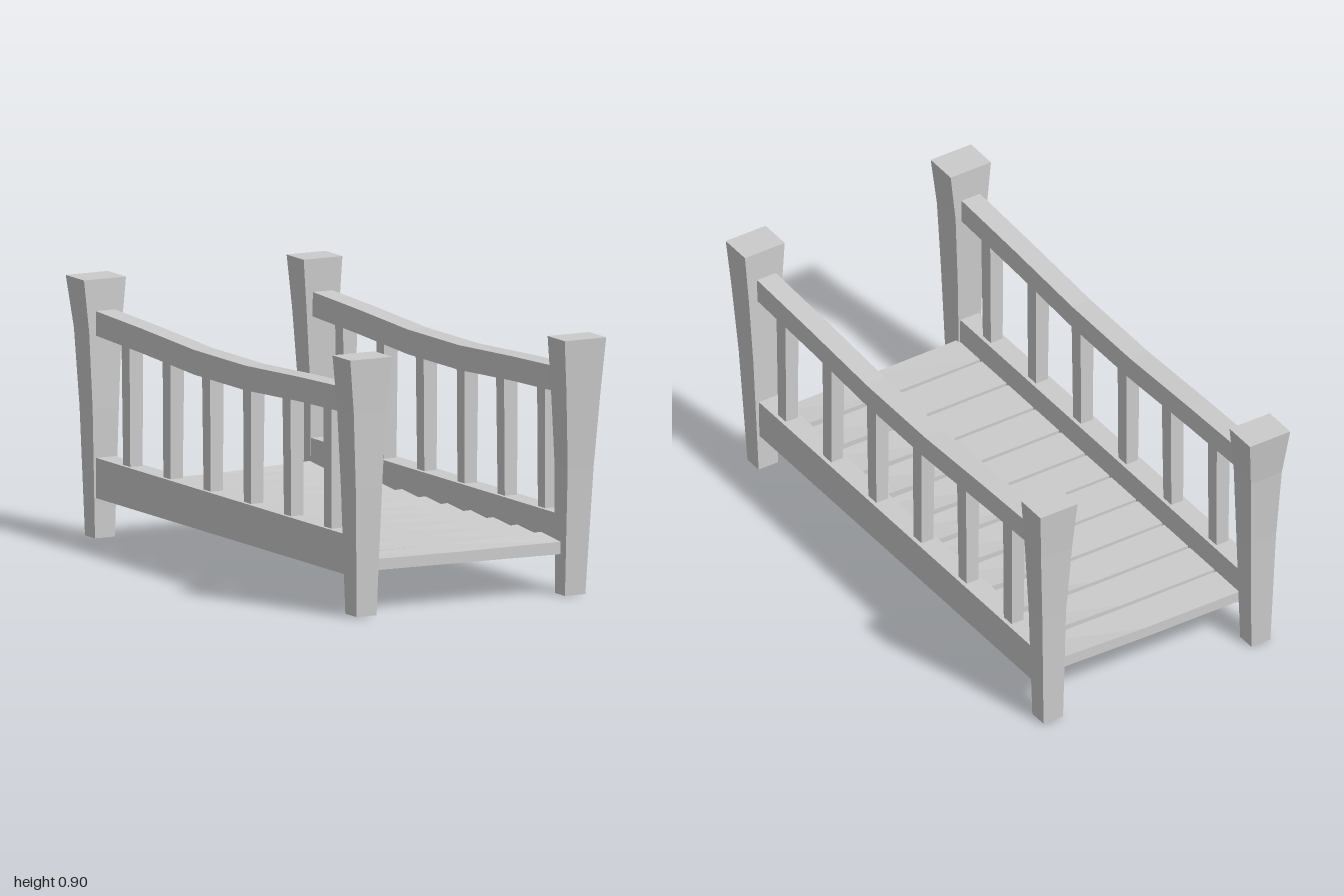
import * as THREE from 'three';

const material = new THREE.MeshStandardMaterial({ color: 0xcccccc, flatShading: true });

// Flat-shaded beam through four-cornered rings (counter-clockwise seen from the last ring)
function beam(name, rings) {
  const pos = [];
  const quad = (a, b, c, d) => pos.push(...a, ...b, ...c, ...a, ...c, ...d);
  for (let i = 0; i < rings.length - 1; i++) {
    const p = rings[i], q = rings[i + 1];
    for (let j = 0; j < 4; j++) {
      const k = (j + 1) % 4;
      quad(p[j], p[k], q[k], q[j]);
    }
  }
  const a = rings[0], b = rings[rings.length - 1];
  quad(a[3], a[2], a[1], a[0]);
  quad(b[0], b[1], b[2], b[3]);
  const geometry = new THREE.BufferGeometry();
  geometry.setAttribute('position', new THREE.Float32BufferAttribute(pos, 3));
  geometry.computeVertexNormals();
  const mesh = new THREE.Mesh(geometry, material);
  mesh.name = name;
  return mesh;
}

// Rings across the y, z and x axes
const ringY = (y, x0, x1, z0, z1) => [[x0, y, z1], [x1, y, z1], [x1, y, z0], [x0, y, z0]];
const ringZ = (z, x0, x1, y0, y1) => [[x0, y0, z], [x1, y0, z], [x1, y1, z], [x0, y1, z]];
// Plank end: back edge raised by tilt
const ringX = (x, y0, y1, z0, z1, tilt) =>
  [[x, y0, z1], [x, y0 + tilt, z0], [x, y1 + tilt, z0], [x, y1, z1]];

export function createModel() {
  const model = new THREE.Group();

  // Flared corner posts: rows of y, x0, x1, z0, z1
  const posts = {
    frontLeftPost: [[0, 0.38, 0.46, 0.85, 0.92], [0.45, 0.373, 0.475, 0.86, 0.952],
      [0.72, 0.355, 0.49, 0.866, 0.975], [0.9, 0.34, 0.503, 0.87, 0.99]],
    frontRightPost: [[0.005, -0.463, -0.385, 0.885, 0.965], [0.45, -0.475, -0.372, 0.875, 0.98],
      [0.72, -0.487, -0.36, 0.87, 0.987], [0.905, -0.505, -0.34, 0.87, 0.995]],
    backLeftPost: [[0.005, 0.38, 0.46, -0.93, -0.86], [0.45, 0.373, 0.47, -0.938, -0.852],
      [0.72, 0.355, 0.482, -0.948, -0.846], [0.905, 0.34, 0.492, -0.96, -0.84]],
    backRightPost: [[0, -0.463, -0.385, -0.94, -0.87], [0.45, -0.475, -0.372, -0.957, -0.865],
      [0.72, -0.487, -0.36, -0.975, -0.868], [0.9, -0.505, -0.34, -1, -0.872]],
  };
  for (const [name, rows] of Object.entries(posts)) {
    model.add(beam(name, rows.map(r => ringY(...r))));
  }

  // Sagging hand rail: z, bottom, top
  const sag = [[-0.87, 0.705, 0.79], [-0.55, 0.693, 0.778], [-0.18, 0.674, 0.76],
    [0.18, 0.674, 0.76], [0.55, 0.693, 0.778], [0.88, 0.703, 0.79]];

  for (const [side, x0, x1] of [['left', 0.378, 0.455], ['right', -0.46, -0.385]]) {
    const railing = new THREE.Group();
    railing.name = side + 'Railing';
    railing.add(beam('lowerRail', [ringZ(-0.88, x0, x1, 0.14, 0.28), ringZ(0.88, x0, x1, 0.14, 0.28)]));
    railing.add(beam('handRail', sag.map(([z, y0, y1]) => ringZ(z, x0, x1, y0, y1))));
    // Balusters, slightly tapered and alternately leaning
    const c = (x0 + x1) / 2;
    for (let i = 0; i < 6; i++) {
      const z = 0.733 - i * 0.282, lean = i % 2 ? -0.003 : 0.003;
      railing.add(beam('baluster', [
        ringY(0.27, c - 0.024, c + 0.024, z - 0.025, z + 0.025),
        ringY(0.705, c - 0.027, c + 0.027, z + lean - 0.028, z + lean + 0.028),
      ]));
    }
    model.add(railing);
  }

  // Deck planks, twisted slightly along their length
  const cuts = [-0.87, -0.715, -0.55, -0.39, -0.225, -0.06, 0.095, 0.255, 0.415, 0.585, 0.75, 0.9];
  for (let i = 0; i < cuts.length - 1; i++) {
    const z0 = cuts[i] + 0.006, z1 = cuts[i + 1] - 0.006;
    model.add(beam('deckPlank', [
      ringX(-0.39, 0.148, 0.187, z0, z1, 0),
      ringX(0, 0.145, 0.184, z0, z1, 0.003),
      ringX(0.385, 0.142, 0.185, z0, z1, 0.014),
    ]));
  }
  return model;
}
